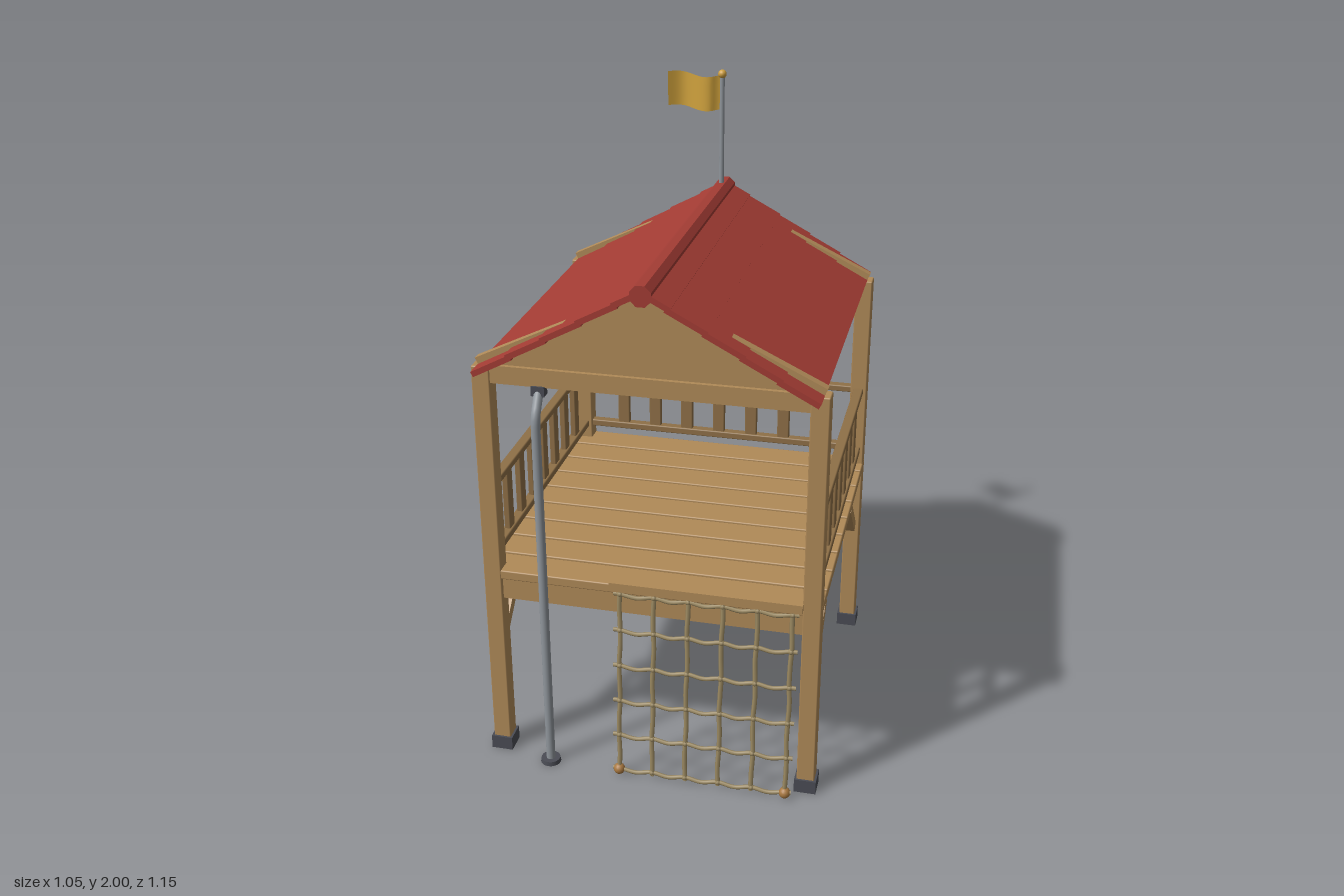
import * as THREE from 'three';
import { RoundedBoxGeometry } from 'three/addons/geometries/RoundedBoxGeometry.js';

const paint = (color, extra = {}) => new THREE.MeshStandardMaterial({ color, ...extra });

export function createModel() {
  const root = new THREE.Group();
  root.name = 'playTower';
  const tower = new THREE.Group();
  tower.name = 'tower';
  tower.position.z = -0.0085;
  root.add(tower);

  const wood = paint(0xb08a58);
  const railWood = paint(0x8f7047);
  const red = paint(0xa33c34);
  const metal = paint(0x8f959b);
  const dark = paint(0x4a4c54);
  const rope = paint(0x9c8a62);
  const knot = paint(0xa87840);
  const gold = paint(0xd0a040);
  const flagCloth = paint(0xd0a23c, { side: THREE.DoubleSide });

  const add = (name, geometry, material, x = 0, y = 0, z = 0) => {
    const mesh = new THREE.Mesh(geometry, material);
    mesh.name = name;
    mesh.position.set(x, y, z);
    tower.add(mesh);
    return mesh;
  };
  const box = (name, mat, w, h, d, x, y, z) => add(name, new THREE.BoxGeometry(w, h, d), mat, x, y, z);
  const beam = (name, mat, w, h, d, x, y, z) =>
    add(name, new RoundedBoxGeometry(w, h, d, 1, 0.004), mat, x, y, z);
  const tube = (name, mat, points, radius, segments, sides) =>
    add(name, new THREE.TubeGeometry(new THREE.CatmullRomCurve3(points), segments, radius, sides), mat);
  const v = (x, y, z) => new THREE.Vector3(x, y, z);

  const P = 0.4915; // post offset from the centre

  // Posts, feet and knee braces
  for (const sx of [-1, 1]) {
    for (const sz of [-1, 1]) {
      beam('post', wood, 0.055, 1.31, 0.055, sx * P, 0.675, sz * P);
      box('foot', dark, 0.068, 0.045, 0.068, sx * P, 0.0225, sz * P);
      const brace = box('kneeBrace', wood, 0.03, 0.215, 0.034, sx * P, 0.49, sz * 0.378);
      brace.rotation.x = -sz * Math.PI / 4;
    }
  }

  // Deck boards and the beams carrying them
  for (let i = -4; i <= 4; i++) {
    beam('deckBoard', wood, 1.04, 0.03, 0.107, 0, 0.645, i * 0.116);
  }
  for (const sz of [-1, 1]) {
    box('deckBeam', wood, 0.95, 0.075, 0.04, 0, 0.595, sz * 0.485);
  }

  // Railings on both sides and the back
  const railing = (name, x, z, turn) => {
    const group = new THREE.Group();
    group.name = name;
    const part = (label, w, h, d, px, py) => {
      const mesh = new THREE.Mesh(new RoundedBoxGeometry(w, h, d, 1, 0.004), railWood);
      mesh.name = label;
      mesh.position.set(px, py, 0);
      group.add(mesh);
    };
    part('topRail', 0.94, 0.022, 0.032, 0, 0.933);
    part('bottomRail', 0.94, 0.024, 0.032, 0, 0.712);
    for (let i = -3; i <= 3; i++) part('baluster', 0.042, 0.205, 0.02, i * 0.116, 0.823);
    group.position.set(x, 0, z);
    group.rotation.y = turn;
    tower.add(group);
  };
  railing('leftRailing', P, 0, Math.PI / 2);
  railing('rightRailing', -P, 0, Math.PI / 2);
  railing('backRailing', 0, -P, 0);

  // Gables: cross beam, triangular panel and two rafters at each end
  const triangle = new THREE.Shape([[-0.47, 1.325], [0.47, 1.325], [0, 1.57]].map(p => new THREE.Vector2(...p)));
  const panel = new THREE.ExtrudeGeometry(triangle, { depth: 0.02, bevelEnabled: false });
  for (const sz of [-1, 1]) {
    box('gableBeam', wood, 0.95, 0.055, 0.045, 0, 1.307, sz * P);
    add('gablePanel', panel, wood, 0, 0, sz * P - 0.01);
    for (const sx of [-1, 1]) {
      const rafter = box('rafter', wood, 0.56, 0.03, 0.028, sx * 0.25, 1.458, sz * P);
      rafter.rotation.z = -sx * Math.atan(0.48);
    }
  }

  // Overlapping roof boards and the ridge cap
  for (const sx of [-1, 1]) {
    for (let i = 0; i < 5; i++) {
      const lowX = 0.497 - i * 0.104;
      const tilt = 0.485;
      const length = i === 4 ? 0.1 : 0.132;
      const x = lowX - Math.cos(tilt) * length / 2;
      const y = 1.324 + i * 0.06 + Math.sin(tilt) * length / 2;
      const board = box('roofBoard', red, length, 0.017, 1.134, sx * x, y, 0);
      board.rotation.z = -sx * tilt;
    }
  }
  const cap = new THREE.CylinderGeometry(0.033, 0.033, 1.136, 8);
  cap.rotateY(Math.PI / 8).rotateX(Math.PI / 2);
  add('ridgeCap', cap, paint(0xa33c34, { flatShading: true }), 0, 1.598, 0);

  // Flagpole and waving flag
  add('flagpole', new THREE.CylinderGeometry(0.008, 0.008, 0.44, 12), metal, 0, 1.765, -P);
  add('flagpoleBall', new THREE.SphereGeometry(0.014, 16, 12), gold, 0, 1.986, -P);
  const flag = new THREE.PlaneGeometry(0.175, 0.11, 24, 4);
  const fp = flag.attributes.position;
  for (let i = 0; i < fp.count; i++) {
    const u = 0.0875 - fp.getX(i); // distance from the pole
    fp.setZ(i, 0.016 * Math.sin(u * 37) * Math.min(1, u / 0.03));
    fp.setY(i, fp.getY(i) - 0.006 * Math.sin(u * 30));
  }
  flag.computeVertexNormals();
  add('flag', flag, flagCloth, -0.0915, 1.927, -P);

  // Sliding pole, bent back to the front gable beam
  const poleX = -0.32;
  const pole = new THREE.CurvePath();
  pole.add(new THREE.LineCurve3(v(poleX, 0.005, 0.548), v(poleX, 1.17, 0.548)));
  pole.add(new THREE.QuadraticBezierCurve3(v(poleX, 1.17, 0.548), v(poleX, 1.2, 0.548), v(poleX, 1.215, 0.538)));
  pole.add(new THREE.LineCurve3(v(poleX, 1.215, 0.538), v(poleX, 1.275, 0.5)));
  add('slidingPole', new THREE.TubeGeometry(pole, 80, 0.014, 14), metal);
  add('slidingPoleBase', new THREE.CylinderGeometry(0.03, 0.032, 0.014, 20), dark, poleX, 0.007, 0.548);
  box('slidingPoleBracket', dark, 0.04, 0.03, 0.03, poleX, 1.268, 0.505);

  // Climbing net hung from a bar at the deck edge
  const netX = i => -0.09 + i * 0.105;
  const netY = j => 0.022 + j * 0.1212;
  const netZ = y => 0.564 - 0.05 * (y / 0.63);
  box('netBar', wood, 0.585, 0.028, 0.03, 0.173, 0.657, 0.515);
  for (let i = 0; i < 6; i++) {
    const points = [];
    for (let k = 0; k <= 10; k++) {
      const y = 0.012 + k * 0.0635;
      points.push(v(netX(i) + 0.002 * Math.sin(k * 1.9 + i), y, netZ(y)));
    }
    tube('netUprightRope', rope, points, 0.0075, 40, 6);
  }
  for (let j = 0; j < 6; j++) {
    const y = netY(j);
    const points = [v(netX(0) - 0.02, y, netZ(y))];
    for (let i = 0; i < 6; i++) {
      points.push(v(netX(i), y, netZ(y)));
      if (i < 5) points.push(v(netX(i) + 0.0525, y - 0.007, netZ(y) + 0.003));
    }
    points.push(v(netX(5) + 0.02, y, netZ(y)));
    tube('netCrossRope', rope, points, 0.0065, 60, 6);
    for (let i = 0; i < 6; i++) add('netKnot', new THREE.SphereGeometry(0.01, 8, 6), rope, netX(i), y, netZ(y));
  }
  for (const i of [0, 5]) {
    add('netAnchor', new THREE.SphereGeometry(0.018, 14, 10), knot, netX(i), 0.02, netZ(0.02));
  }

  return root;
}
